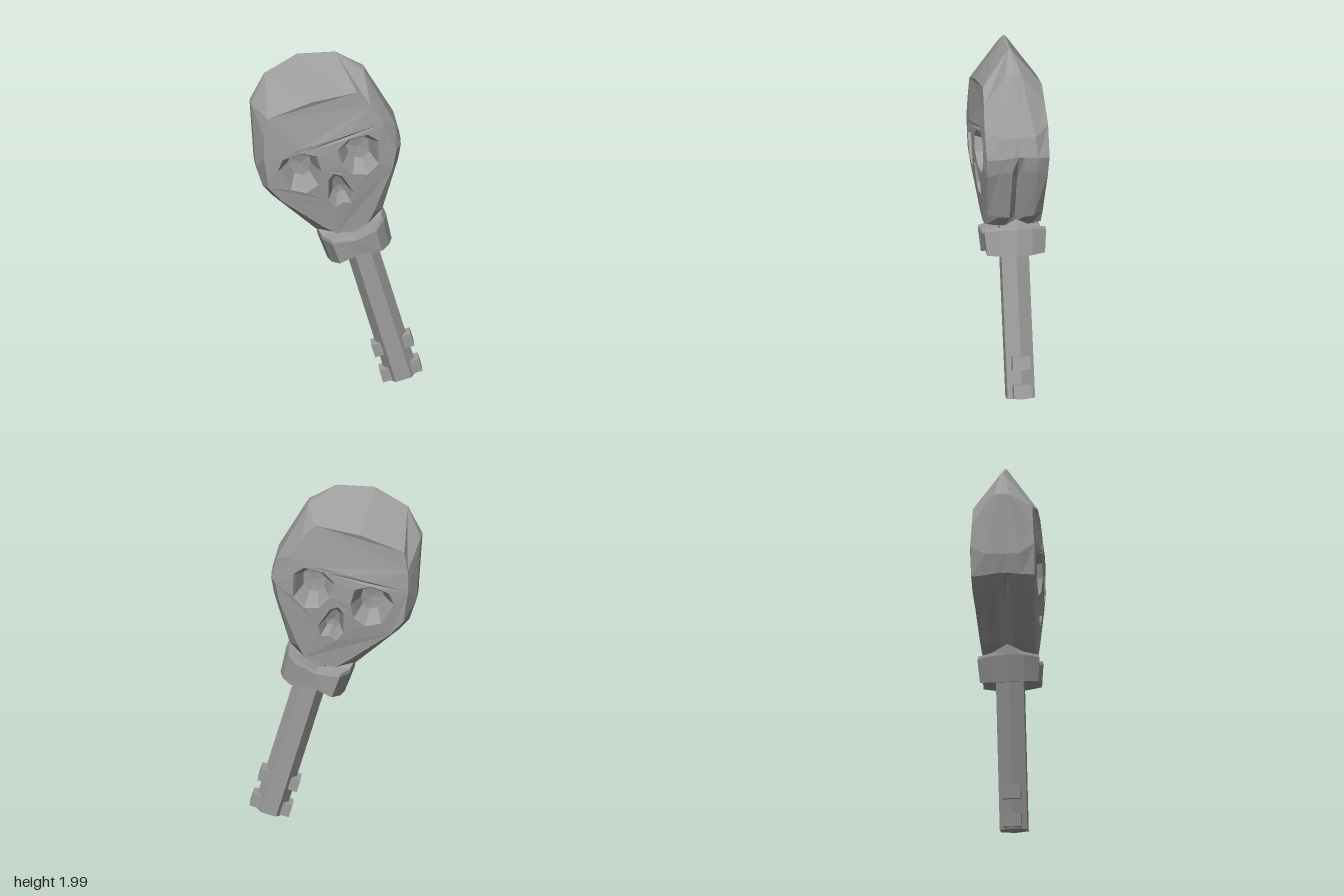
import * as THREE from 'three';

const material = new THREE.MeshStandardMaterial({ color: 0x9e9e9e, flatShading: true });

function part(name, geometry, parent) {
  const mesh = new THREE.Mesh(geometry, material);
  mesh.name = name;
  parent.add(mesh);
  return mesh;
}

// Skin between closed rings, each ring an array of [x, y, z]
function loft(rings) {
  const out = [];
  for (let r = 0; r < rings.length - 1; r++) {
    const p = rings[r], q = rings[r + 1], n = p.length;
    for (let i = 0; i < n; i++) {
      const j = (i + 1) % n;
      out.push(...p[i], ...q[i], ...q[j], ...p[i], ...q[j], ...p[j]);
    }
  }
  const g = new THREE.BufferGeometry();
  g.setAttribute('position', new THREE.Float32BufferAttribute(out, 3));
  g.computeVertexNormals();
  return g;
}

// Half outline (top centre, down the side, bottom centre) to a full ring
const mirrorRing = (half) => [
  ...half,
  ...half.slice(1, -1).reverse().map(([x, ...rest]) => [-x, ...rest]),
];

// Depth of the face plate: fullest between the cheeks, receding to brow, sides and chin
const faceZ = (x, y) => 0.175 - (y > 1.48 ? 0.1 * (y - 1.48) : 0.12 * Math.max(0, 1.3 - y))
  + 0.025 * Math.max(0, 1 - (x / 0.4) ** 2);
const onFace = ([x, y]) => [x, y, faceZ(x, y)];

// Half outlines from the middle plane out to the face
const grooveFloor = [[0, 1.96, 0], [0.21, 1.905, 0], [0.335, 1.77, 0], [0.412, 1.42, 0],
  [0.405, 1.31, 0], [0.28, 1.17, 0], [0.13, 0.96, 0], [0.09, 0.91, 0], [0, 0.91, 0]];
const grooveEdge = [[0, 1.96, 0.005], [0.21, 1.905, 0.005], [0.335, 1.768, 0.015], [0.412, 1.42, 0.03],
  [0.41, 1.31, 0.03], [0.37, 1.22, 0.035], [0.2, 0.95, 0.04], [0.1, 0.9, 0.05], [0, 0.9, 0.05]];
const sideEdge = [[0, 1.955, 0.01], [0.21, 1.9, 0.01], [0.33, 1.765, 0.045], [0.41, 1.42, 0.1],
  [0.405, 1.3, 0.11], [0.365, 1.22, 0.11], [0.195, 0.955, 0.1], [0.1, 0.9, 0.1], [0, 0.895, 0.1]];
const faceOutline = [[0, 1.725], [0.262, 1.7], [0.312, 1.6], [0.35, 1.48], [0.375, 1.3],
  [0.325, 1.2], [0.145, 0.97], [0.09, 0.91], [0, 0.9]];
const faceEdge = faceOutline.map(onFace);

// Brow line that parts the forehead from the face below
const browLine = [[0.15, 1.48], [0, 1.48]];
const forehead = [...faceOutline.slice(0, 4), ...browLine];
const muzzle = [browLine[1], browLine[0], ...faceOutline.slice(3)];

const eye = [[0.06, 1.32], [0.06, 1.41], [0.14, 1.455], [0.25, 1.445],
  [0.295, 1.39], [0.26, 1.255], [0.18, 1.21], [0.1, 1.24]];
const nose = [[0, 1.28], [0.04, 1.25], [0.075, 1.13], [0.045, 1.07],
  [0, 1.09], [-0.045, 1.07], [-0.075, 1.13], [-0.04, 1.25]];
const otherEye = eye.map(([x, y]) => [-x, y]).reverse();

const vectors = (pts) => pts.map(([x, y]) => new THREE.Vector2(x, y));

// Plate on the face surface, pierced by the given holes
function plate(outline, holes) {
  const shape = new THREE.Shape(vectors(mirrorRing(outline)));
  for (const hole of holes) shape.holes.push(new THREE.Path(vectors(hole)));
  const g = new THREE.ShapeGeometry(shape);
  const pos = g.attributes.position;
  for (let i = 0; i < pos.count; i++) pos.setZ(i, faceZ(pos.getX(i), pos.getY(i)));
  g.computeVertexNormals();
  return g;
}

// Hollow with a bevelled rim, narrowing to its floor
function socket(outline, depth) {
  const cx = outline.reduce((s, p) => s + p[0], 0) / outline.length;
  const cy = outline.reduce((s, p) => s + p[1], 0) / outline.length;
  const ring = (scale, d) => outline.map(([x, y]) =>
    [cx + (x - cx) * scale, cy + (y - cy) * scale, faceZ(x, y) - d]);
  const floor = outline.map(() => [cx, cy, faceZ(cx, cy) - depth * 1.1]);
  return loft([ring(1, 0), ring(0.88, depth * 0.2), ring(0.55, depth), floor]);
}

// One half of the skull; the back half is the same, turned around
function skullHalf(name) {
  const half = new THREE.Group();
  half.name = name;
  part('cranium', loft([grooveFloor, grooveEdge, sideEdge, faceEdge].map(mirrorRing)), half);
  part('forehead', plate(forehead, []), half);
  part('face', plate(muzzle, [eye, otherEye, nose]), half);
  part('leftEyeSocket', socket(eye, 0.13), half);
  part('rightEyeSocket', socket(otherEye, 0.13), half);
  part('noseSocket', socket(nose, 0.1), half);
  return half;
}

// Collar with wings that rise to a point beside the jaw
function collar() {
  const quarter = [[0.2, 0], [0.18, 0.09], [0.13, 0.175]];
  const side = [...quarter, [0, 0.165], ...quarter.slice(1).reverse().map(([x, z]) => [-x, z])];
  const plan = [...side, ...side.map(([x, z]) => [-x, -z])];
  const ring = (scale, height) => plan.map(([x, z]) =>
    [x * scale, height(Math.abs(x) / 0.2, z), z * scale]);
  return loft([
    ring(0, () => 0.75),
    ring(0.94, (t) => 0.75 - 0.025 * t),
    ring(1, (t) => 0.84 + 0.04 * t),
    ring(0.97, (t, z) => 0.85 + (z === 0 ? 0.09 : 0.05) * t),
    ring(0, () => 0.86),
  ]);
}

export function createModel() {
  const model = new THREE.Group();
  model.name = 'skullKey';
  const key = new THREE.Group();
  key.name = 'key';
  key.position.set(0.375, 0, -0.018);
  const tilt = new THREE.Group();
  tilt.name = 'tilt';
  tilt.rotation.set(0, Math.PI / 6, THREE.MathUtils.degToRad(16.5));
  tilt.add(key);
  model.add(tilt);

  // Skull
  const front = skullHalf('skullFront');
  const back = skullHalf('skullBack');
  back.rotation.y = Math.PI;
  key.add(front, back);

  // Collar
  part('collar', collar(), key);

  // Six-sided shaft with two teeth on each side of the tip
  const stem = new THREE.Group();
  stem.name = 'stem';
  stem.position.set(0.012, 0, -0.004);
  key.add(stem);
  const shaft = new THREE.CylinderGeometry(0.09, 0.09, 0.98, 6);
  shaft.rotateY(Math.PI / 6);
  part('shaft', shaft, stem).position.y = 0.4;
  for (const side of [-1, 1]) {
    for (const y of [-0.045, 0.115]) {
      const tooth = part('tooth', new THREE.BoxGeometry(0.07, 0.075, 0.1), stem);
      tooth.position.set(side * 0.08, y, 0);
    }
  }
  return model;
}
